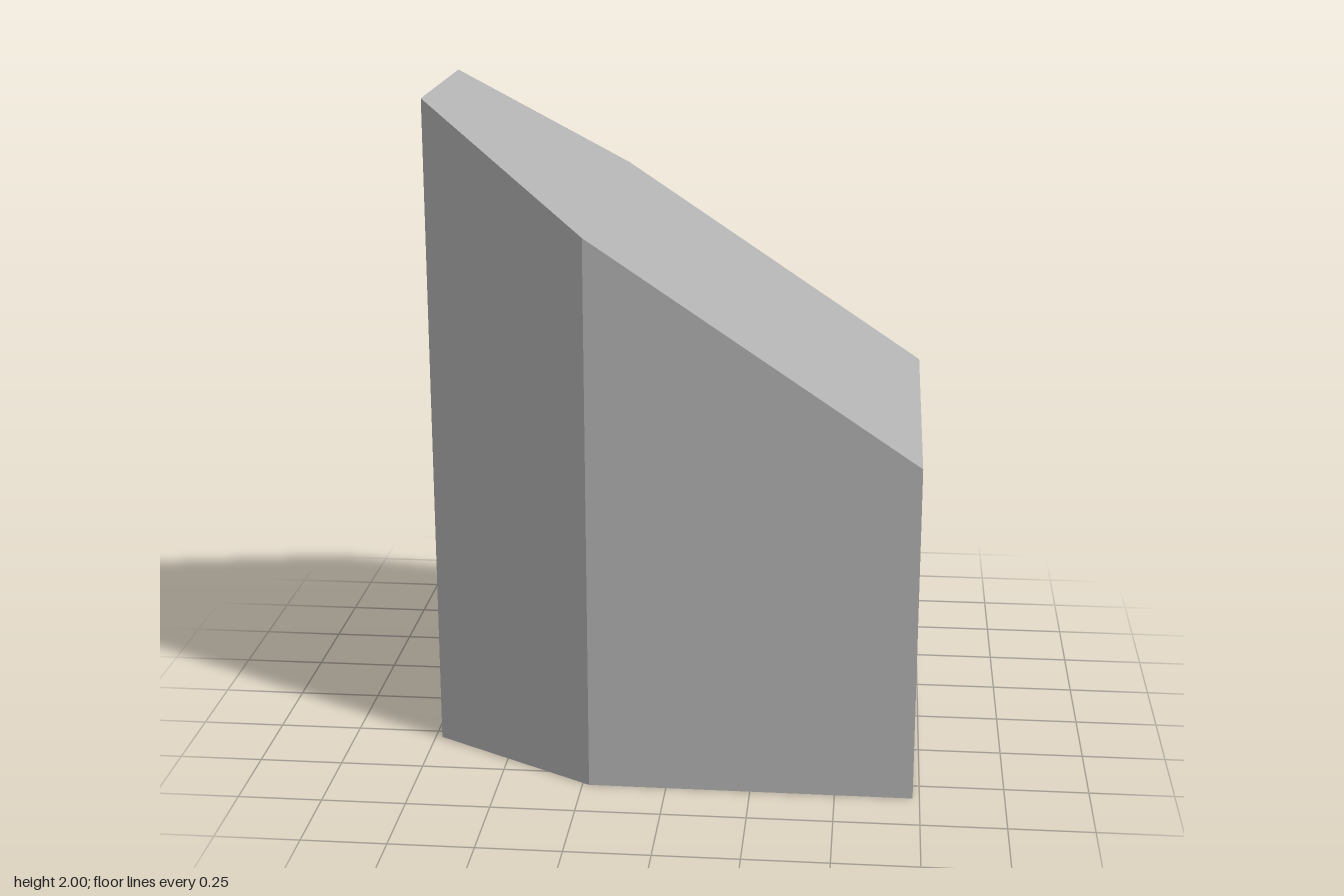
import * as THREE from 'three';

export function createModel() {
  const group = new THREE.Group();
  const grey = new THREE.MeshStandardMaterial({ color: 0xb0b0b0 });
  grey.name = 'grey';

  // Footprint: a rectangle with two chamfered corners at the tall end
  const half = [[-0.73, 0.29], [-0.23, 0.58], [0.73, 0.583]];
  const outline = [
    ...half.map(([x, z]) => new THREE.Vector2(x, -z)),
    ...half.slice().reverse().map(([x, z]) => new THREE.Vector2(x, z)),
  ];
  const geometry = new THREE.ExtrudeGeometry(new THREE.Shape(outline), { depth: 1, bevelEnabled: false });
  geometry.rotateX(-Math.PI / 2);

  // Slope the top from the tall end down to the low end
  const pos = geometry.attributes.position;
  for (let i = 0; i < pos.count; i++) {
    if (pos.getY(i) > 0.5) {
      const t = (pos.getX(i) + 0.73) / 1.46;
      pos.setY(i, THREE.MathUtils.lerp(2, 1.02, t));
    } else {
      pos.setY(i, 0);
    }
  }
  geometry.computeVertexNormals();

  const block = new THREE.Mesh(geometry, grey);
  block.name = 'slopedBlock';
  group.add(block);
  return group;
}
